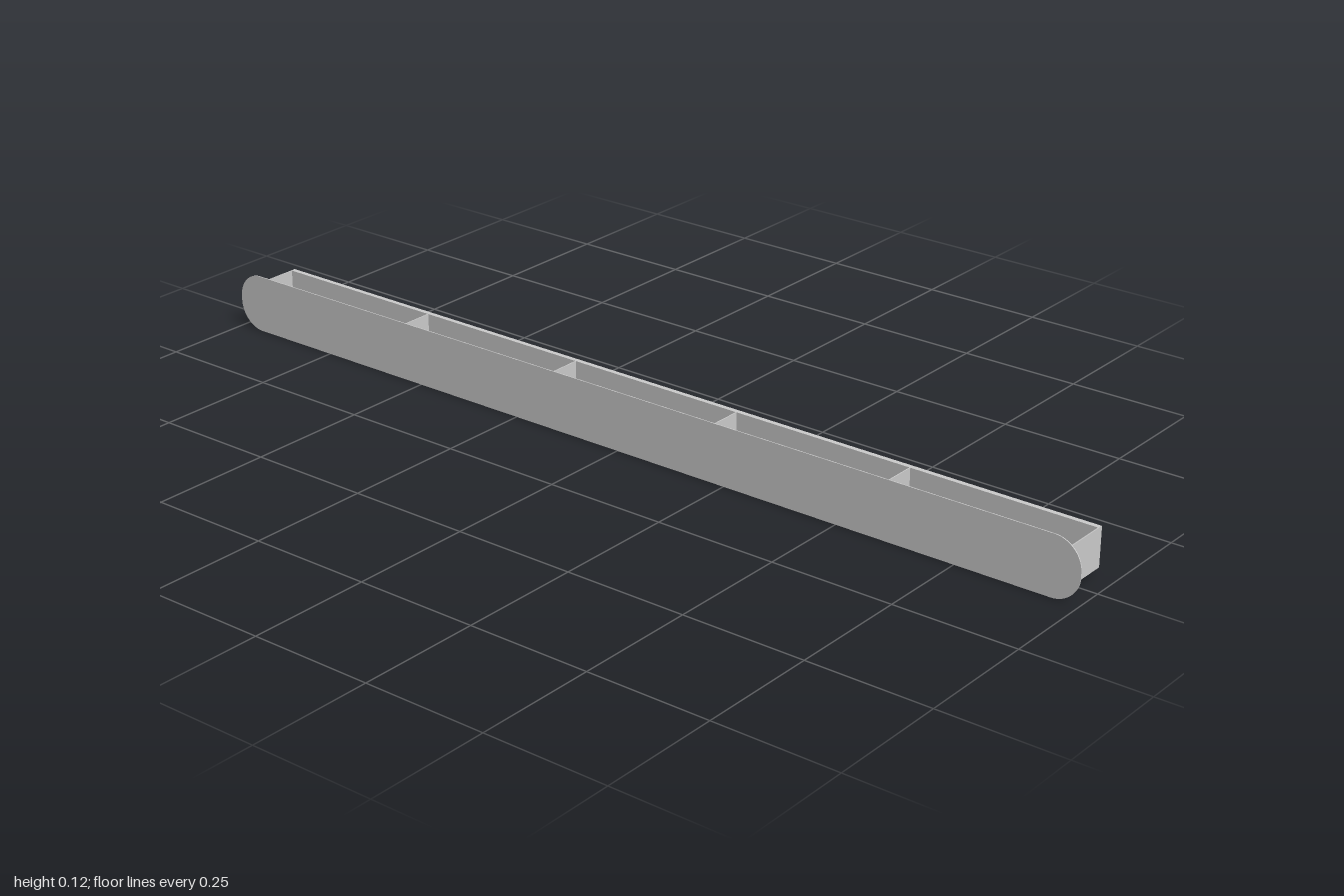
import * as THREE from 'three';

export function createModel() {
  const root = new THREE.Group();
  root.name = 'wallShelfTray';
  const mat = new THREE.MeshStandardMaterial({ color: 0xcccccc, side: THREE.DoubleSide });

  const T = 0.002;                    // sheet thickness
  const X = 0.966;                    // half length of the tray
  const Y0 = 0.016, Y1 = 0.095;       // tray bottom and top
  const FRONT = 0.06, WALL = -0.052, BACK = -0.06;

  function add(name, geometry) {
    const m = new THREE.Mesh(geometry, mat);
    m.name = name;
    root.add(m);
    return m;
  }
  // box given by its limits
  function box(name, x0, x1, y0, y1, z0, z1) {
    const m = add(name, new THREE.BoxGeometry(x1 - x0, y1 - y0, z1 - z0));
    m.position.set((x0 + x1) / 2, (y0 + y1) / 2, (z0 + z1) / 2);
  }

  // front panel with rounded ends
  const r = 0.056, h = 0.12;
  const s = new THREE.Shape();
  s.moveTo(-1 + r, 0);
  s.lineTo(1 - r, 0);
  s.absarc(1 - r, r, r, -Math.PI / 2, 0, false);
  s.absarc(1 - r, h - r, r, 0, Math.PI / 2, false);
  s.absarc(-1 + r, h - r, r, Math.PI / 2, Math.PI, false);
  s.absarc(-1 + r, r, r, Math.PI, Math.PI * 1.5, false);
  add('frontPanel', new THREE.ExtrudeGeometry(s, { depth: T, bevelEnabled: false, curveSegments: 16 }))
    .position.z = FRONT - T + 0.001;

  // recessed back wall with a lip along its top
  box('backWall', -X, X, Y0, Y1, WALL, WALL + T);
  box('backLip', -X, X, Y1 - T, Y1, BACK, WALL + T);

  // end plates
  for (const side of [-1, 1]) {
    const x = side * (X - T / 2);
    box('endPlate', x - T / 2, x + T / 2, Y0, Y1, BACK, FRONT - T / 2);
  }

  // inner dividers
  for (const x of [-0.58, -0.194, 0.194, 0.58]) {
    box('divider', x - T / 2, x + T / 2, Y0, Y1, WALL + T, FRONT - T / 2);
  }

  // floor slats
  for (const z of [-0.021, 0.029]) {
    box('floorSlat', -X, X, Y0, Y0 + T, z - 0.0185, z + 0.0185);
  }

  // hanging brackets, slotted from below
  const b = new THREE.Shape();
  b.moveTo(-0.015, 0.053);
  b.lineTo(-0.006, 0.053);
  b.lineTo(-0.006, 0.074);
  b.absarc(0, 0.074, 0.006, Math.PI, 0, true);
  b.lineTo(0.006, 0.053);
  b.lineTo(0.015, 0.053);
  b.lineTo(0.015, 0.092);
  b.lineTo(-0.015, 0.092);
  b.closePath();
  const bracket = new THREE.ExtrudeGeometry(b, { depth: WALL + 0.061, bevelEnabled: false, curveSegments: 10 });
  for (const x of [-0.91, 0, 0.91]) {
    add('hangingBracket', bracket).position.set(x, 0, -0.061);
  }
  return root;
}
